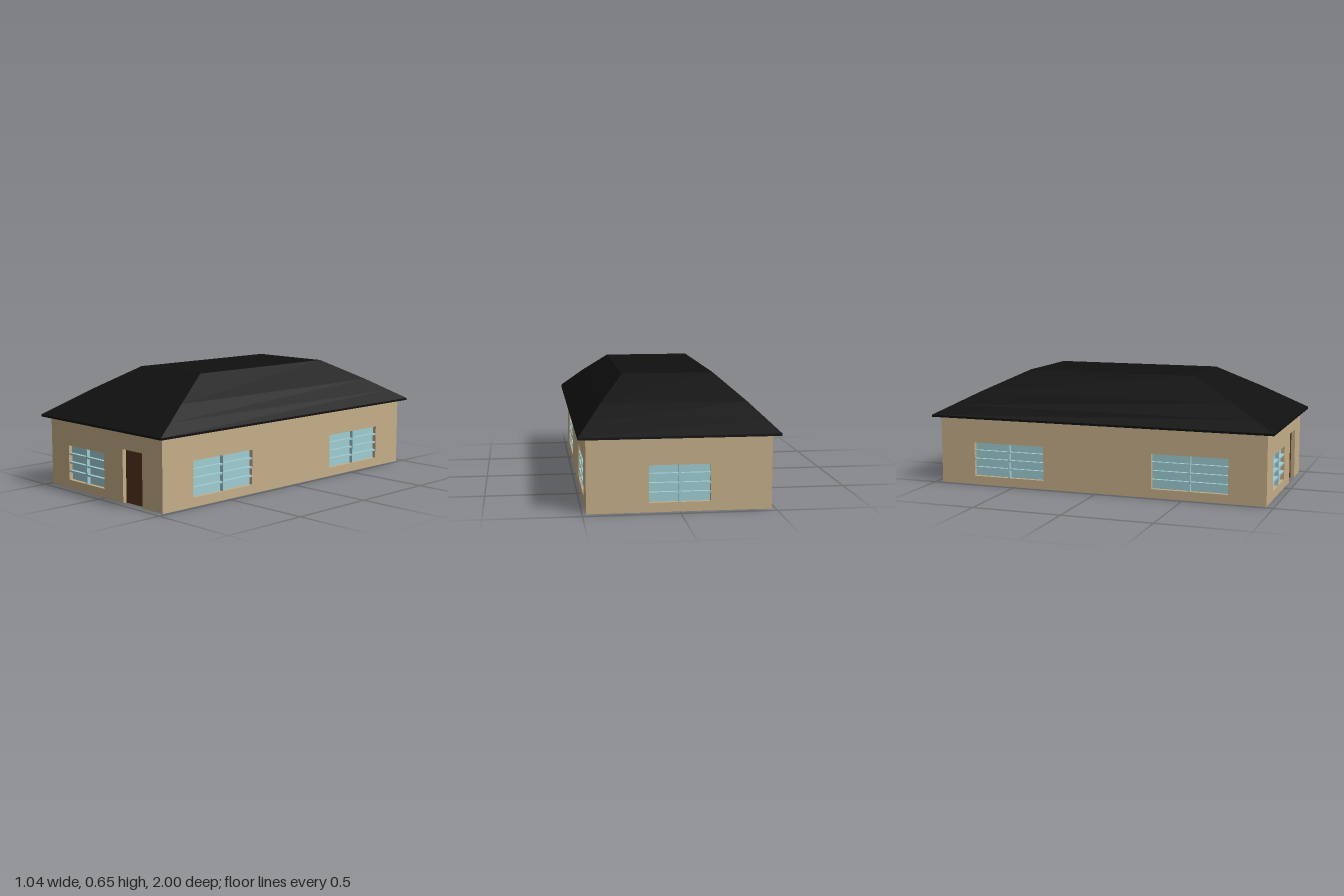
import * as THREE from 'three';

const WALL_TOP = 0.395, HALF_W = 0.48, HALF_L = 0.96;
const THICK = 0.03, RECESS = 0.022, BAR = 0.01;
const SILL = 0.05, HEAD = 0.245, DOOR_TOP = 0.29;

const mat = (color) => new THREE.MeshStandardMaterial({ color });
const wallMat = mat(0xc4ae88);
const roofMat = mat(0x101010);
roofMat.flatShading = true;
const glassMat = mat(0x9fcdd3);
const doorMat = mat(0x53311e);

// Box given by its lower and upper corners
function box(name, material, [x0, y0, z0], [x1, y1, z1]) {
  const mesh = new THREE.Mesh(new THREE.BoxGeometry(x1 - x0, y1 - y0, z1 - z0), material);
  mesh.position.set((x0 + x1) / 2, (y0 + y1) / 2, (z0 + z1) / 2);
  mesh.name = name;
  return mesh;
}

// Recessed pane with one upright and three cross bars; z = 0 is the outer wall face
function windowUnit(x0, x1) {
  const g = new THREE.Group();
  g.name = 'window';
  g.add(box('pane', glassMat, [x0, SILL, -THICK], [x1, HEAD, -RECESS]));
  const mid = (x0 + x1) / 2;
  g.add(box('upright', glassMat, [mid - BAR / 2, SILL, -RECESS], [mid + BAR / 2, HEAD, -0.001]));
  for (let i = 1; i < 4; i++) {
    const y = SILL + (HEAD - SILL) * i / 4;
    g.add(box('crossBar', glassMat, [x0, y - BAR / 2, -RECESS], [x1, y + BAR / 2, -0.002]));
  }
  return g;
}

// Wall panel with window openings and an optional doorway
function wall(name, half, windows, door) {
  const g = new THREE.Group();
  g.name = name;
  const shape = new THREE.Shape().moveTo(-half, 0);
  if (door) {
    shape.lineTo(door[0], 0).lineTo(door[0], DOOR_TOP).lineTo(door[1], DOOR_TOP).lineTo(door[1], 0);
    g.add(box('door', doorMat, [door[0], 0, -THICK], [door[1], DOOR_TOP, -RECESS]));
  }
  shape.lineTo(half, 0).lineTo(half, WALL_TOP).lineTo(-half, WALL_TOP).closePath();
  for (const [x0, x1] of windows) {
    shape.holes.push(new THREE.Path().moveTo(x0, SILL).lineTo(x0, HEAD)
      .lineTo(x1, HEAD).lineTo(x1, SILL).closePath());
    g.add(windowUnit(x0, x1));
  }
  const geo = new THREE.ExtrudeGeometry(shape, { depth: THICK, bevelEnabled: false });
  geo.translate(0, 0, -THICK);
  const panel = new THREE.Mesh(geo, wallMat);
  panel.name = name + 'Panel';
  g.add(panel);
  return g;
}

// Hipped roof: rectangular rings rising from the eaves to a flat top
function roof() {
  const rings = [
    [0.52, 1.0, 0.388], [0.52, 1.0, 0.4], [0.463, 0.89, 0.457],
    [0.39, 0.75, 0.53], [0.25, 0.49, 0.655],
  ];
  const pos = [], idx = [];
  for (const [w, l, y] of rings) pos.push(-w, y, l, w, y, l, w, y, -l, -w, y, -l);
  for (let r = 0; r < rings.length - 1; r++) {
    for (let i = 0; i < 4; i++) {
      const a = r * 4 + i, b = r * 4 + (i + 1) % 4;
      idx.push(a, b, b + 4, a, b + 4, a + 4);
    }
  }
  const t = (rings.length - 1) * 4;
  idx.push(t, t + 1, t + 2, t, t + 2, t + 3, 0, 2, 1, 0, 3, 2);
  const indexed = new THREE.BufferGeometry();
  indexed.setAttribute('position', new THREE.Float32BufferAttribute(pos, 3));
  indexed.setIndex(idx);
  const geo = indexed.toNonIndexed();
  geo.computeVertexNormals();
  const mesh = new THREE.Mesh(geo, roofMat);
  mesh.name = 'roof';
  return mesh;
}

export function createModel() {
  const house = new THREE.Group();
  house.name = 'house';

  // End walls
  const front = wall('frontWall', HALF_W, [[-0.32, 0]], [0.16, 0.32]);
  front.position.z = HALF_L;
  const back = wall('backWall', HALF_W, [[-0.16, 0.16]]);
  back.position.z = -HALF_L;
  back.rotation.y = Math.PI;
  house.add(front, back);

  // Long side walls, fitted between the end walls
  for (const side of [1, -1]) {
    const w = wall(side > 0 ? 'leftWall' : 'rightWall', HALF_L - THICK, [[-0.75, -0.32], [0.32, 0.75]]);
    w.position.x = side * HALF_W;
    w.rotation.y = side * Math.PI / 2;
    house.add(w);
  }

  // Floor and roof
  const fx = HALF_W - THICK, fz = HALF_L - THICK;
  house.add(box('floor', wallMat, [-fx, 0, -fz], [fx, 0.02, fz]));
  house.add(roof());
  return house;
}
